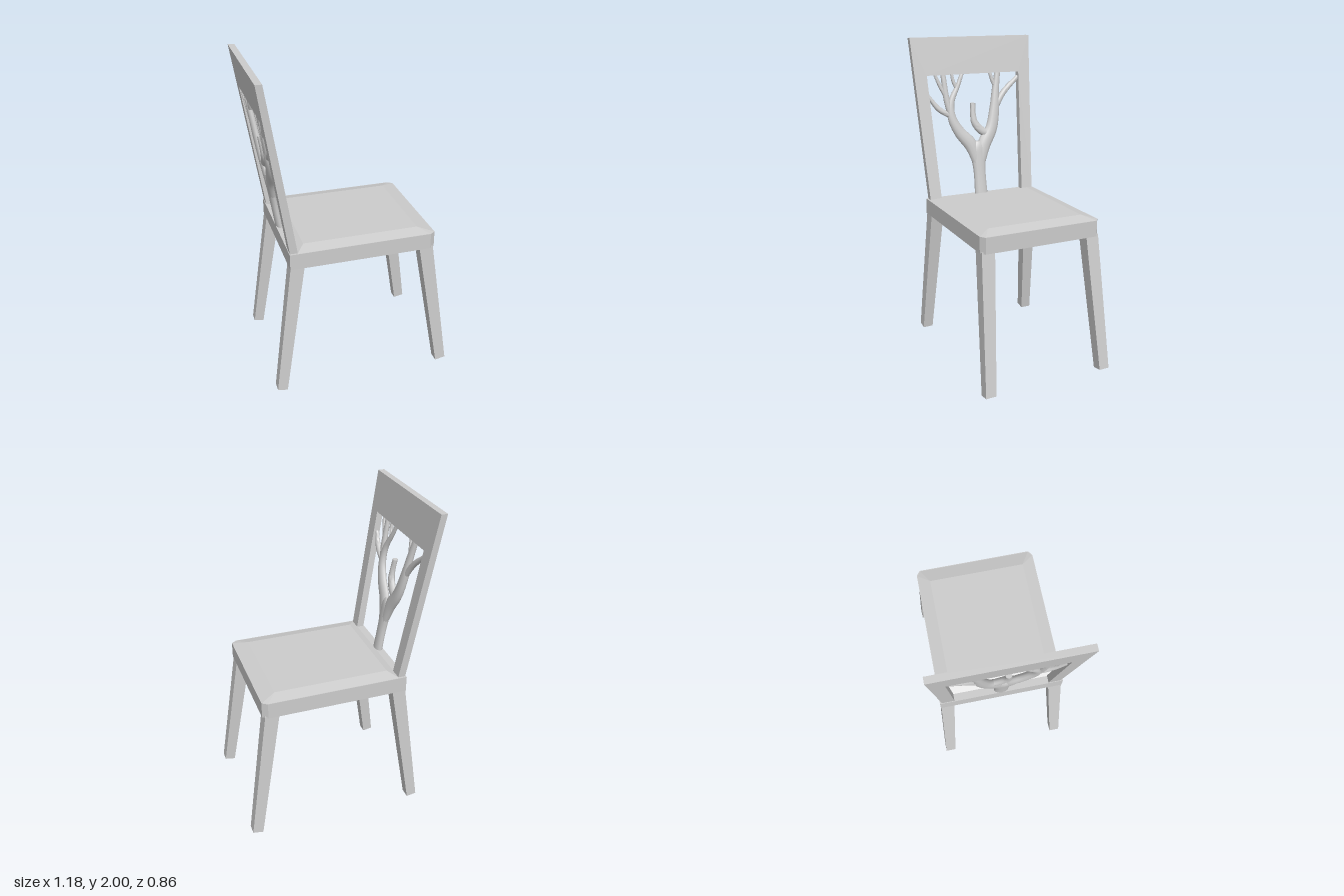
import * as THREE from 'three';
import { ConvexGeometry } from 'three/addons/geometries/ConvexGeometry.js';
import { toCreasedNormals } from 'three/addons/utils/BufferGeometryUtils.js';

const material = new THREE.MeshStandardMaterial({ color: 0xcccccc });

function part(name, geometry) {
  const mesh = new THREE.Mesh(geometry, material);
  mesh.name = name;
  return mesh;
}

// Solid with flat faces around a set of corners
function solid(corners) {
  return new ConvexGeometry(corners.map((c) => new THREE.Vector3(...c)));
}

// Horizontal outline with chamfered front corners
function seatOutline(back, y) {
  const half = [[back, 0.39], [0.447, 0.39], [0.48, 0.367]];
  return half.flatMap(([x, z]) => [[x, y, z], [x, y, -z]]);
}

// Four corners of a leg end, each [x, y, z]; s mirrors the leg across z
function legCorners(x0, x1, y0, y1, z0, z1, s) {
  return [[x0, y0, z0 * s], [x0, y0, z1 * s], [x1, y1, z0 * s], [x1, y1, z1 * s]];
}

// Middle of the leaning backrest at a given height
const lean = (y) => -0.409 - 0.157 * (y - 0.97);

// Backrest frame: two posts and a broad top rail, tapering and leaning
function backFrame() {
  const half = [[0.428, 2], [0.376, 0.95], [0.298, 0.95], [0.332, 1.76]];
  const outline = [...half, ...half.map(([z, y]) => [-z, y]).reverse()];
  const shape = new THREE.Shape(outline.map(([z, y]) => new THREE.Vector2(z, y)));
  const geo = new THREE.ExtrudeGeometry(shape, { depth: 1, bevelEnabled: false });
  geo.translate(0, 0, -0.5).rotateY(Math.PI / 2);
  const p = geo.attributes.position;
  for (let i = 0; i < p.count; i++) {
    const y = p.getY(i);
    const thickness = 0.047 - 0.007 * (y - 0.95);
    p.setX(i, lean(y) + p.getX(i) * thickness);
  }
  geo.computeVertexNormals();
  return geo;
}

// Tapering branch lying in the backrest, flattened where thick, closed at both ends;
// points are [z, y, radius]
function branch(points) {
  const curve = new THREE.CatmullRomCurve3(points.map((p) => new THREE.Vector3(...p)), false, 'centripetal');
  const rings = points.length * 4, sides = 12, last = rings * sides;
  const pos = [], index = [];
  for (let i = 0; i <= rings; i++) {
    const c = curve.getPoint(i / rings);
    const t = curve.getTangent(i / rings);
    const len = Math.hypot(t.x, t.y);
    const depth = 0.027 * Math.tanh(c.z / 0.027);
    for (let j = 0; j < sides; j++) {
      const a = (j / sides) * Math.PI * 2;
      const across = Math.cos(a) * c.z;
      const z = c.x + (t.y / len) * across;
      const y = c.y - (t.x / len) * across;
      pos.push(lean(y) - 0.003 + Math.sin(a) * depth, y, z);
      if (i < rings) {
        const k = i * sides + j, n = i * sides + ((j + 1) % sides);
        index.push(k, n, k + sides, n, n + sides, k + sides);
      }
    }
  }
  for (let j = 1; j < sides - 1; j++) {
    index.push(0, j + 1, j, last, last + j, last + j + 1);
  }
  const geo = new THREE.BufferGeometry();
  geo.setAttribute('position', new THREE.Float32BufferAttribute(pos, 3));
  geo.setIndex(index);
  return toCreasedNormals(geo, 1.1);
}

const branches = {
  trunk: [[0, 0.95, 0.047], [0, 1.1, 0.044], [0, 1.2, 0.053], [0, 1.26, 0.056], [0, 1.31, 0.022]],
  rightLimb: [[0.01, 1.14, 0.026], [0.045, 1.28, 0.046], [0.125, 1.38, 0.039], [0.172, 1.48, 0.03],
    [0.168, 1.58, 0.022], [0.11, 1.69, 0.015], [0.074, 1.77, 0.012]],
  rightUpright: [[0.172, 1.46, 0.02], [0.2, 1.6, 0.021], [0.212, 1.77, 0.017]],
  rightSideTwig: [[0.16, 1.48, 0.016], [0.26, 1.54, 0.018], [0.328, 1.63, 0.012]],
  rightTopTwig: [[0.2, 1.61, 0.013], [0.24, 1.69, 0.013], [0.272, 1.77, 0.01]],
  rightInnerTwig: [[0.125, 1.665, 0.011], [0.142, 1.71, 0.012], [0.152, 1.77, 0.01]],
  leftLimb: [[-0.01, 1.14, 0.026], [-0.045, 1.28, 0.048], [-0.11, 1.39, 0.043], [-0.143, 1.52, 0.036],
    [-0.16, 1.64, 0.026], [-0.185, 1.77, 0.02]],
  leftSideTwig: [[-0.14, 1.51, 0.022], [-0.215, 1.62, 0.02], [-0.335, 1.725, 0.014]],
  leftTopTwig: [[-0.165, 1.65, 0.013], [-0.14, 1.71, 0.013], [-0.125, 1.77, 0.011]],
  middleStub: [[-0.095, 1.355, 0.02], [-0.04, 1.375, 0.028], [0.01, 1.435, 0.025], [0.018, 1.49, 0.02],
    [0.013, 1.565, 0.018]],
};

export function createModel() {
  const model = new THREE.Group();
  model.name = 'chair';

  // Seat slab and its shallow bevelled top
  model.add(part('seat', solid([...seatOutline(-0.435, 0.86), ...seatOutline(-0.435, 0.96)])));
  const top = [[-0.335, 0.98, 0.31], [-0.335, 0.98, -0.31], [0.385, 0.98, 0.31], [0.385, 0.98, -0.31]];
  model.add(part('seatTop', solid([...seatOutline(-0.39, 0.959), ...top])));

  // Splayed, tapering legs with ends cut square to the lean
  for (const [side, s] of [['left', -1], ['right', 1]]) {
    model.add(part(side + 'FrontLeg', solid([
      ...legCorners(0.378, 0.466, 0.87, 0.87, 0.303, 0.386, s),
      ...legCorners(0.522, 0.588, 0.004, 0.016, 0.355, 0.421, s)])));
    model.add(part(side + 'BackLeg', solid([
      ...legCorners(-0.432, -0.347, 0.87, 0.87, 0.303, 0.386, s),
      ...legCorners(-0.55, -0.487, 0.014, 0.003, 0.355, 0.421, s)])));
  }

  model.add(part('backFrame', backFrame()));

  // Tree-shaped back splat
  const tree = new THREE.Group();
  tree.name = 'treeSplat';
  for (const [name, points] of Object.entries(branches)) tree.add(part(name, branch(points)));
  model.add(tree);
  return model;
}
